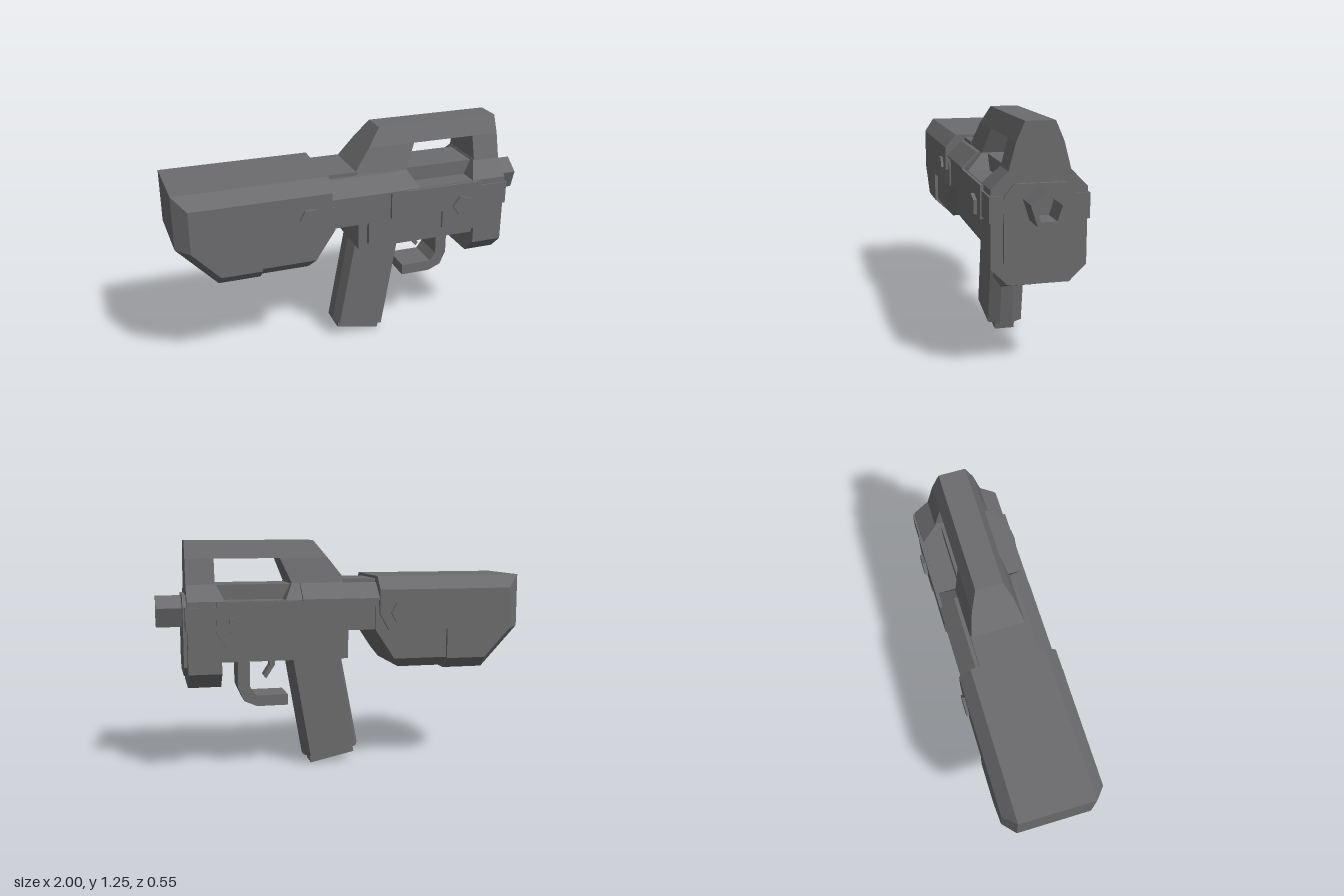
import * as THREE from 'three';

const gunmetal = new THREE.MeshStandardMaterial({ color: 0x6c6c6e });
gunmetal.name = 'gunmetal';
gunmetal.flatShading = true;

// Symmetric slab: side profile [x, y] (counter-clockwise) with half width w (number or
// function of y). An optional inner profile at half width w2 forms bevelled edges.
function slab(outer, w, inner, w2) {
  const half = (v, y) => (typeof v === 'function' ? v(y) : v);
  const ring = (poly, v, s) => poly.map(([x, y]) => [x, y, s * half(v, y)]);
  const rings = [ring(outer, w, -1), ring(outer, w, 1)];
  if (inner) {
    rings.unshift(ring(inner, w2, -1));
    rings.push(ring(inner, w2, 1));
  }
  const pos = [], n = outer.length;
  const tri = (a, b, c) => pos.push(...a, ...b, ...c);
  for (let k = 0; k < rings.length - 1; k++) {
    for (let i = 0; i < n; i++) {
      const j = (i + 1) % n, lo = rings[k], hi = rings[k + 1];
      tri(lo[i], lo[j], hi[j]);
      tri(lo[i], hi[j], hi[i]);
    }
  }
  const contour = (inner || outer).map(([x, y]) => new THREE.Vector2(x, y));
  const first = rings[0], last = rings[rings.length - 1];
  for (const [a, b, c] of THREE.ShapeUtils.triangulateShape(contour, [])) {
    tri(last[a], last[b], last[c]);
    tri(first[c], first[b], first[a]);
  }
  const g = new THREE.BufferGeometry();
  g.setAttribute('position', new THREE.Float32BufferAttribute(pos, 3));
  g.computeVertexNormals();
  return g;
}

const rect = (x0, x1, y0, y1) => [[x0, y0], [x1, y0], [x1, y1], [x0, y1]];
const ngon = (cx, cy, r, n, start) => Array.from({ length: n }, (_, i) => {
  const a = start + (i / n) * Math.PI * 2;
  return [cx + r * Math.cos(a), cy + r * Math.sin(a)];
});
// Half width running linearly from wa at height ya to wb at height yb
const taper = (ya, wa, yb, wb) => (y) => wa + ((y - ya) / (yb - ya)) * (wb - wa);

export function createModel() {
  const model = new THREE.Group();
  model.name = 'blaster';
  const add = (name, geometry) => {
    const mesh = new THREE.Mesh(geometry, gunmetal);
    mesh.name = name;
    model.add(mesh);
  };

  // Stock: bevelled shell over a slimmer underside
  add('stockShell', slab(
    [[-1, 0.77], [-0.79, 0.545], [-0.565, 0.545], [-0.565, 0.77], [-0.23, 0.77], [-0.18, 0.86], [-0.18, 1.06], [-1, 1.06]], 0.2,
    [[-0.93, 0.76], [-0.785, 0.605], [-0.565, 0.605], [-0.565, 0.77], [-0.23, 0.77], [-0.18, 0.86], [-0.18, 0.99], [-0.93, 0.99]], 0.263));
  add('stockUnderside', slab(
    [[-0.6, 0.56], [-0.3, 0.56], [-0.16, 0.77], [-0.16, 0.9], [-0.6, 0.9]], 0.2,
    [[-0.6, 0.61], [-0.267, 0.61], [-0.16, 0.77], [-0.16, 0.9], [-0.6, 0.9]], 0.245));

  // Receiver
  add('receiverCore', slab([[-0.2, 0.77], [-0.015, 0.77], [-0.015, 0.617], [0.68, 0.617], [0.68, 0.94], [-0.2, 0.94]], 0.21));
  add('receiverSides', slab([[-0.18, 0.775], [0.035, 0.775], [0.035, 0.65], [0.68, 0.65], [0.68, 0.94], [-0.18, 0.94]], 0.235));
  const shoulder = taper(0.94, 0.235, 1.03, 0.145);
  add('rearShoulder', slab([[-0.18, 0.94], [0.33, 0.94], [0.28, 1.03], [-0.18, 1.03]], shoulder));
  add('frontShoulder', slab([[0.65, 0.94], [0.845, 0.94], [0.845, 1.03], [0.69, 1.03]], shoulder));
  add('windowFloor', slab(rect(0.27, 0.7, 0.93, 1.02), 0.12));
  add('rearDeck', slab(rect(-0.19, 0, 1.02, 1.045), 0.15));

  // Raised stepped panel on both sides
  add('sidePanel', slab(
    [[0.16, 0.79], [0.465, 0.79], [0.465, 0.69], [0.645, 0.69], [0.695, 0.77], [0.695, 0.937], [0.24, 0.937],
      [0.24, 0.945], [-0.18, 0.945], [-0.18, 0.935], [0.16, 0.935]], 0.252));
  add('shoulderPanel', slab(rect(-0.18, 0.24, 0.945, 1.025), taper(0.945, 0.252, 1.025, 0.17)));

  // Carry handle around the open window
  const lower = taper(1.02, 0.152, 1.158, 0.115);
  add('handleRearLeg', slab([[-0.02, 1.03], [0.28, 1.02], [0.34, 1.158], [0.077, 1.158]], lower));
  add('handleFrontLeg', slab(rect(0.693, 0.845, 1.02, 1.158), lower));
  add('handleTop', slab([[0.077, 1.158], [0.845, 1.158], [0.845, 1.253], [0.15, 1.253]], taper(1.158, 0.115, 1.253, 0.073)));

  // Front block
  add('frontBlock', slab(rect(0.67, 0.845, 0.56, 0.94), 0.235));
  add('frontBlockChin', slab(rect(0.67, 0.845, 0.477, 0.56), taper(0.477, 0.15, 0.56, 0.235)));
  add('frontBand', slab(rect(0.69, 0.855, 0.785, 0.91), 0.245));
  const plate = slab(
    [[-0.125, 0.54], [0.125, 0.54], [0.175, 0.59], [0.175, 0.91], [0.125, 0.967], [-0.125, 0.967], [-0.175, 0.91], [-0.175, 0.59]], 0.015);
  add('frontPlate', plate.rotateY(Math.PI / 2).translate(0.849, 0, 0));

  // Hollow five-sided muzzle
  const vec = (p) => p.map(([x, y]) => new THREE.Vector2(x, y));
  const tube = new THREE.Shape(vec(ngon(0, 0, 0.092, 5, Math.PI / 2)));
  tube.holes.push(new THREE.Path(vec(ngon(0, 0, 0.066, 5, Math.PI / 2))));
  add('muzzle', new THREE.ExtrudeGeometry(tube, { depth: 0.15, bevelEnabled: false })
    .rotateY(Math.PI / 2).translate(0.85, 0.868, 0));

  // Bolts through both sides
  add('rearBolt', slab(ngon(-0.3, 0.865, 0.06, 6, 0), 0.277));
  add('frontBolt', slab(ngon(0.58, 0.815, 0.06, 5, Math.PI), 0.27));

  // Slanted magazine and its base
  add('magazine', slab(
    [[-0.11, 0.1], [0.2, 0.043], [0.3, 0.63], [-0.01, 0.63]], 0.035,
    [[-0.085, 0.095], [0.172, 0.049], [0.272, 0.63], [0.015, 0.63]], 0.095));
  add('magazineBase', slab([[-0.085, 0.052], [0.163, 0], [0.175, 0.06], [-0.075, 0.11]], 0.055));

  // Trigger and its guard
  add('triggerGuard', slab(
    [[0.3, 0.35], [0.47, 0.35], [0.54, 0.38], [0.573, 0.455], [0.573, 0.63], [0.508, 0.63], [0.508, 0.455], [0.475, 0.41], [0.3, 0.41]], 0.095));
  add('trigger', slab(
    [[0.36, 0.565], [0.41, 0.49], [0.425, 0.51], [0.39, 0.565], [0.39, 0.63], [0.36, 0.63]], 0.03));

  return model;
}
